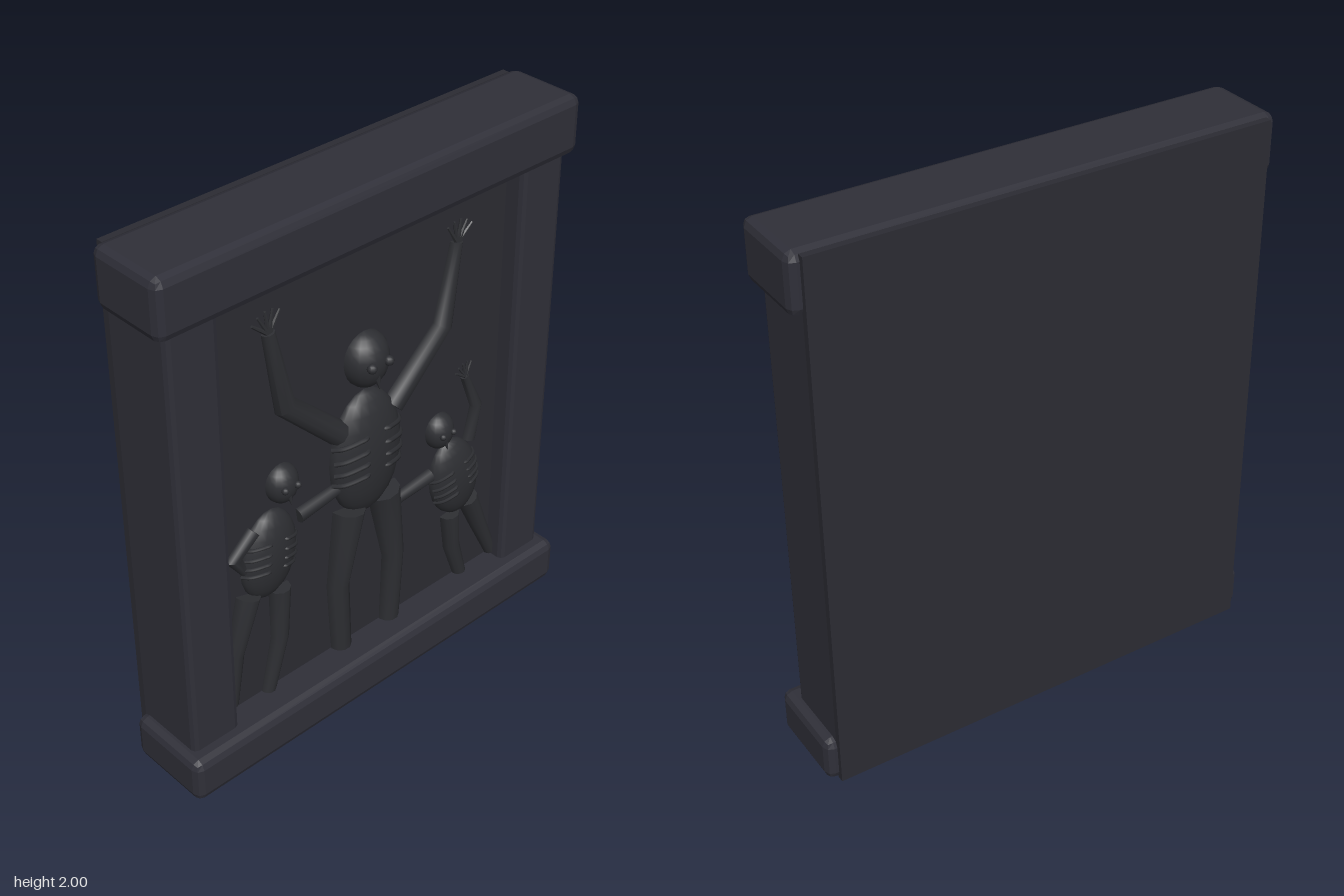
import * as THREE from 'three';
import { toCreasedNormals } from 'three/addons/utils/BufferGeometryUtils.js';
import { RoundedBoxGeometry } from 'three/addons/geometries/RoundedBoxGeometry.js';

const PANEL_Z = 0.04; // front of the recessed panel

export function createModel() {
  const frameMat = new THREE.MeshStandardMaterial({ name: 'dark frame stone', color: 0x2f2f38 });
  const panelMat = new THREE.MeshStandardMaterial({ name: 'dark panel stone', color: 0x2b2b32 });
  const figureMat = new THREE.MeshStandardMaterial({ name: 'figure stone', color: 0x2d2e32 });
  const model = new THREE.Group();
  model.name = 'reliefPanel';

  function add(parent, name, geometry, material, x = 0, y = 0, z = 0) {
    const mesh = new THREE.Mesh(geometry, material);
    mesh.name = name;
    mesh.position.set(x, y, z);
    parent.add(mesh);
    return mesh;
  }

  // Box given by its limits, with small faceted edges
  function bevelBox(name, [x0, x1], [y0, y1], [z0, z1], r) {
    const g = new RoundedBoxGeometry(x1 - x0, y1 - y0, z1 - z0, 1, r);
    g.computeVertexNormals();
    add(model, name, g, frameMat, (x0 + x1) / 2, (y0 + y1) / 2, (z0 + z1) / 2);
  }

  // Frame and backing
  bevelBox('topBeam', [-0.87, 0.87], [1.79, 2], [-0.157, 0.14], 0.03);
  bevelBox('baseBeam', [-0.87, 0.87], [0, 0.17], [-0.157, 0.175], 0.03);
  bevelBox('rightPost', [-0.83, -0.637], [0.1, 1.85], [-0.17, 0.115], 0.02);
  bevelBox('leftPost', [0.637, 0.83], [0.1, 1.85], [-0.17, 0.115], 0.02);
  add(model, 'backSlab', new THREE.BoxGeometry(1.66, 1.99, 0.025), panelMat, 0, 0.997, -0.1625);
  add(model, 'recessedPanel', new THREE.BoxGeometry(1.3, 1.7, PANEL_Z + 0.16), panelMat, 0, 0.98, (PANEL_Z - 0.16) / 2);

  // Tapered limb through points [x, y, radius], mitred at the joints
  function limbGeometry(points, sides = 10) {
    const pos = [], index = [];
    const dir = (a, b) => new THREE.Vector2(b[0] - a[0], b[1] - a[1]).normalize();
    points.forEach((p, i) => {
      const before = i > 0 ? dir(points[i - 1], p) : dir(p, points[i + 1]);
      const after = i < points.length - 1 ? dir(p, points[i + 1]) : before;
      const t = before.clone().add(after).normalize();
      const mitre = 1 / Math.max(0.5, t.dot(before));
      for (let j = 0; j < sides; j++) {
        const a = (j / sides) * Math.PI * 2, c = Math.cos(a) * p[2] * mitre;
        pos.push(p[0] - t.y * c, p[1] + t.x * c, Math.sin(a) * p[2]);
      }
    });
    const last = (points.length - 1) * sides;
    for (let i = 0; i < last; i += sides) {
      for (let j = 0; j < sides; j++) {
        const k = (j + 1) % sides;
        index.push(i + j, i + k, i + sides + k, i + j, i + sides + k, i + sides + j);
      }
    }
    for (let j = 1; j < sides - 1; j++) {
      index.push(0, j + 1, j, last, last + j, last + j + 1);
    }
    const g = new THREE.BufferGeometry();
    g.setAttribute('position', new THREE.Float32BufferAttribute(pos, 3));
    g.setIndex(index);
    return toCreasedNormals(g, 0.8);
  }

  // Arm with fingers fanned out from its last point
  function hand(parent, [x, y], angle, length, r) {
    for (let i = 0; i < 5; i++) {
      const a = angle + (i - 2) * 0.36;
      const tip = [x + Math.cos(a) * length, y + Math.sin(a) * length, r * 0.5];
      add(parent, 'finger', limbGeometry([[x, y, r], tip], 6), figureMat, 0, 0, PANEL_Z + 0.012);
    }
  }

  // Torso with ribs, head with eyes and nose, and limbs
  function figure(name, { torso, head, limbs, hands }) {
    const group = new THREE.Group();
    group.name = name;
    model.add(group);

    const [tx, ty, rx, ry, rz, tilt] = torso;
    const body = new THREE.Group();
    body.name = 'body';
    body.position.set(tx, ty, PANEL_Z);
    body.rotation.z = tilt;
    group.add(body);
    add(body, 'torso', new THREE.SphereGeometry(1, 18, 12).scale(rx, ry, rz), figureMat);
    for (const side of [-1, 1]) {
      for (const level of [0.42, 0.21, 0.01, -0.18]) {
        const path = [];
        for (let i = 0; i <= 6; i++) {
          const u = 0.18 + i * 0.13, v = level - 0.13 * u * u;
          const w = Math.sqrt(Math.max(0.01, 1 - u * u - v * v));
          path.push(new THREE.Vector3(side * u * rx, v * ry, i ? w * rz : w * rz - 0.015));
        }
        const curve = new THREE.CatmullRomCurve3(path);
        add(body, 'rib', new THREE.TubeGeometry(curve, 14, rx * 0.058, 6), figureMat);
      }
    }

    const [hx, hy, hr] = head;
    const skull = new THREE.Group();
    skull.name = 'head';
    skull.position.set(hx, hy, PANEL_Z);
    group.add(skull);
    // narrow the chin
    const g = new THREE.SphereGeometry(1, 18, 12);
    const p = g.attributes.position;
    for (let i = 0; i < p.count; i++) {
      const y = p.getY(i);
      p.setXYZ(i, p.getX(i) * hr * (1 + 0.1 * y), y * hr * 1.17, p.getZ(i) * hr * 0.92);
    }
    g.computeVertexNormals();
    add(skull, 'skull', g, figureMat);
    for (const side of [-1, 1]) {
      add(skull, 'eye', new THREE.SphereGeometry(hr * 0.2, 10, 8), figureMat, side * hr * 0.42, hr * 0.12, hr * 0.88);
    }
    const nose = add(skull, 'nose', new THREE.ConeGeometry(hr * 0.17, hr * 0.6, 6), figureMat, 0, -hr * 0.72, hr * 0.78);
    nose.rotation.x = Math.PI - 0.3;

    for (const [limbName, points] of limbs) {
      add(group, limbName, limbGeometry(points), figureMat, 0, 0, PANEL_Z + 0.005);
    }
    for (const [at, angle, length, r] of hands) hand(group, at, angle, length, r);
  }

  // Tall central figure, mirrored limbs
  const limbs = [], hands = [];
  for (const s of [-1, 1]) {
    limbs.push(['arm', [[s * 0.12, 1.09, 0.044], [s * 0.345, 1.305, 0.038], [s * 0.402, 1.6, 0.024]]]);
    limbs.push(['leg', [[s * 0.08, 0.76, 0.064], [s * 0.13, 0.46, 0.044], [s * 0.115, 0.15, 0.04]]]);
    hands.push([[s * 0.402, 1.595], Math.PI / 2 - s * 0.16, 0.085, 0.009]);
  }
  figure('centralFigure', { torso: [0, 0.96, 0.155, 0.245, 0.075, 0], head: [0, 1.325, 0.088], limbs, hands });

  // Small figure with its hand on the hip
  figure('smallFigureRight', {
    torso: [-0.43, 0.758, 0.115, 0.172, 0.06, -0.14],
    head: [-0.365, 1.013, 0.063],
    limbs: [
      ['bentArm', [[-0.49, 0.885, 0.027], [-0.575, 0.81, 0.024], [-0.53, 0.74, 0.018]]],
      ['reachingArm', [[-0.3, 0.845, 0.028], [-0.12, 0.868, 0.023]]],
      ['leg', [[-0.525, 0.635, 0.047], [-0.59, 0.415, 0.033], [-0.61, 0.2, 0.022]]],
      ['leg', [[-0.39, 0.595, 0.042], [-0.395, 0.385, 0.034], [-0.455, 0.15, 0.026]]],
    ],
    hands: [[[-0.535, 0.75], -0.5, 0.06, 0.007]],
  });

  // Small figure with one arm raised
  figure('smallFigureLeft', {
    torso: [0.43, 0.635, 0.112, 0.172, 0.06, 0.24],
    head: [0.35, 0.87, 0.06],
    limbs: [
      ['raisedArm', [[0.5, 0.765, 0.026], [0.53, 0.9, 0.023], [0.468, 1.045, 0.016]]],
      ['reachingArm', [[0.31, 0.698, 0.027], [0.13, 0.675, 0.022]]],
      ['leg', [[0.415, 0.475, 0.04], [0.43, 0.325, 0.034], [0.485, 0.15, 0.026]]],
      ['leg', [[0.505, 0.5, 0.042], [0.565, 0.36, 0.034], [0.645, 0.18, 0.024]]],
    ],
    hands: [[[0.468, 1.045], 1.85, 0.06, 0.007]],
  });

  return model;
}
